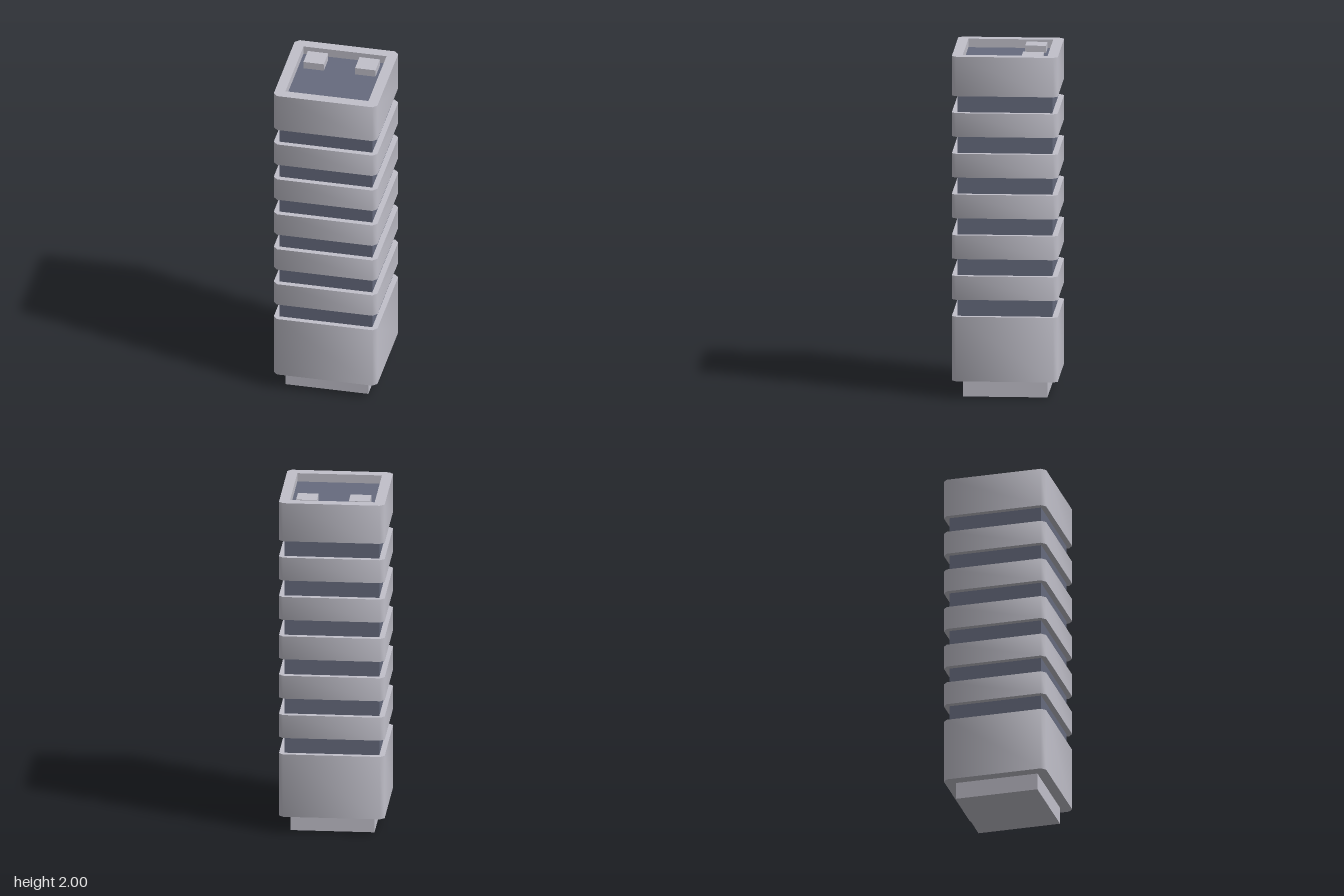
import * as THREE from 'three';
import { toCreasedNormals } from 'three/addons/utils/BufferGeometryUtils.js';

const HALF = 0.305, CHAMFER = 0.025;
const CORE = 0.546, WELL = 0.488, ROOF = 1.95;

// Square outline with cut corners
function chamferedSquare() {
  const a = HALF, b = HALF - CHAMFER;
  return new THREE.Shape([
    [b, -a], [a, -b], [a, b], [b, a], [-b, a], [-a, b], [-a, -b], [-b, -a],
  ].map(([x, y]) => new THREE.Vector2(x, y)));
}

// Upright slab between two heights, with soft corners and sharp rims
function slabGeometry(y0, y1, hole) {
  const shape = chamferedSquare();
  if (hole) {
    const h = hole / 2;
    shape.holes.push(new THREE.Path([
      new THREE.Vector2(-h, -h), new THREE.Vector2(-h, h),
      new THREE.Vector2(h, h), new THREE.Vector2(h, -h),
    ]));
  }
  const g = new THREE.ExtrudeGeometry(shape, { depth: y1 - y0, bevelEnabled: false });
  g.rotateX(-Math.PI / 2).translate(0, y0, 0);
  return toCreasedNormals(g, THREE.MathUtils.degToRad(60));
}

export function createModel() {
  const concrete = new THREE.MeshStandardMaterial({ name: 'paleConcrete', color: 0xc1c0ca });
  const glass = new THREE.MeshStandardMaterial({ name: 'slateGlass', color: 0x666b7e });

  const tower = new THREE.Group();
  tower.name = 'tower';

  const add = (name, geometry, material) => {
    const mesh = new THREE.Mesh(geometry, material);
    mesh.name = name;
    tower.add(mesh);
  };
  const box = (w, y0, y1, x = 0, z = 0) =>
    new THREE.BoxGeometry(w, y1 - y0, w).translate(x, (y0 + y1) / 2, z);

  // Plinth and solid lower storey
  add('plinth', box(0.486, 0, 0.1), concrete);
  add('lowerStorey', slabGeometry(0.1, 0.478), concrete);

  // Recessed window core, seen between the floor bands
  add('windowCore', box(CORE, 0.47, 1.79), glass);

  // Floor bands
  for (let i = 0; i < 5; i++) {
    const y = 0.577 + i * 0.2385;
    add('floorBand' + (i + 1), slabGeometry(y, y + 0.139), concrete);
  }

  // Crown with a sunken roof
  add('crown', slabGeometry(1.769, 2, WELL), concrete);
  add('roofDeck', box(WELL, 1.78, ROOF), glass);

  // Roof equipment housings
  for (const side of [1, -1]) {
    add(side > 0 ? 'leftRoofUnit' : 'rightRoofUnit',
      box(0.12, ROOF, 1.993, side * 0.152, -0.153), concrete);
  }

  return tower;
}
